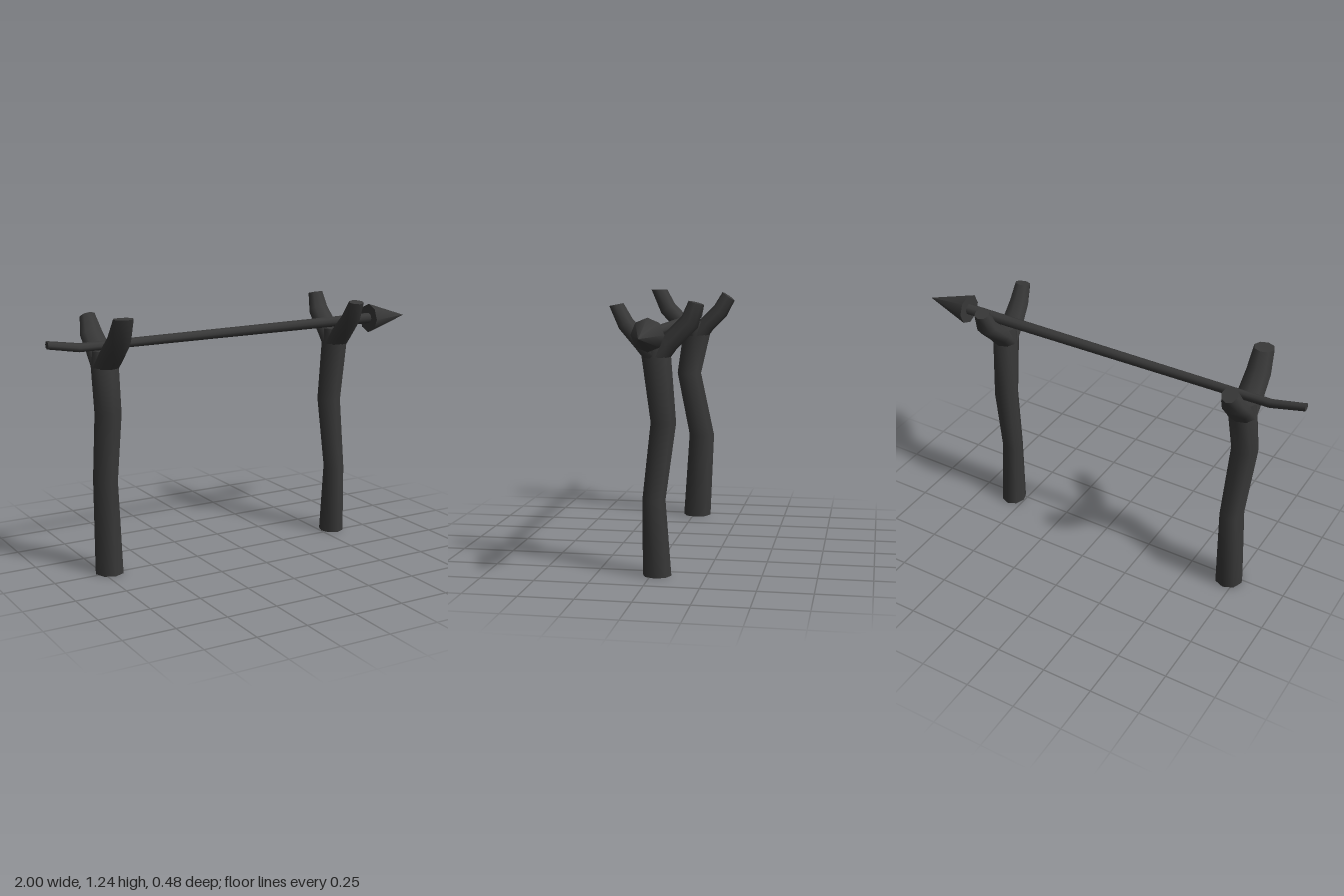
import * as THREE from 'three';

const material = new THREE.MeshStandardMaterial({ color: 0x383838 });

// Closed loft through elliptical rings [x, y, z, radiusX, radiusV, tilt about x]
function loft(name, rings, sides = 8) {
  const pos = [], index = [];
  const addRing = ([x, y, z, rx, rv, tilt = 0]) => {
    for (let i = 0; i < sides; i++) {
      const a = (i / sides) * Math.PI * 2;
      const v = Math.cos(a) * rv;
      pos.push(x + Math.sin(a) * rx, y - Math.sin(tilt) * v, z + Math.cos(tilt) * v);
    }
  };
  rings.forEach(addRing);
  for (let r = 0; r < rings.length - 1; r++) {
    for (let i = 0; i < sides; i++) {
      const a = r * sides + i, b = r * sides + (i + 1) % sides;
      index.push(a, b, a + sides, b, b + sides, a + sides);
    }
  }
  // End caps use their own vertices so the rims stay sharp
  [rings[0], rings[rings.length - 1]].forEach((ring, end) => {
    const start = pos.length / 3;
    addRing(ring);
    for (let i = 1; i < sides - 1; i++) {
      if (end) index.push(start, start + i, start + i + 1);
      else index.push(start, start + i + 1, start + i);
    }
  });
  const geometry = new THREE.BufferGeometry();
  geometry.setAttribute('position', new THREE.Float32BufferAttribute(pos, 3));
  geometry.setIndex(index);
  geometry.computeVertexNormals();
  const mesh = new THREE.Mesh(geometry, material);
  mesh.name = name;
  return mesh;
}

function forkedPost(name, trunk, frontProng, backProng) {
  const post = new THREE.Group();
  post.name = name;
  post.add(loft('trunk', trunk), loft('frontProng', frontProng), loft('backProng', backProng));
  return post;
}

export function createModel() {
  const model = new THREE.Group();
  model.name = 'spearOnForkedPosts';

  // Thicker post on the model's right
  model.add(forkedPost('rightPost',
    [
      [-0.715, 0, -0.018, 0.07, 0.074],
      [-0.713, 0.45, -0.042, 0.06, 0.068],
      [-0.722, 0.79, 0.03, 0.067, 0.065],
      [-0.715, 1.0, -0.01, 0.067, 0.074],
      [-0.715, 1.075, -0.01, 0.06, 0.055],
    ],
    [
      [-0.715, 1.0, 0.0, 0.064, 0.05, 0.7],
      [-0.712, 1.06, 0.065, 0.064, 0.045, 0.8],
      [-0.71, 1.14, 0.145, 0.06, 0.046, 0.6],
      [-0.708, 1.243, 0.193, 0.05, 0.044, 0.0],
    ],
    [
      [-0.715, 1.0, -0.02, 0.064, 0.05, -0.7],
      [-0.715, 1.06, -0.07, 0.064, 0.045, -0.8],
      [-0.72, 1.13, -0.14, 0.058, 0.044, -0.65],
      [-0.72, 1.21, -0.185, 0.038, 0.04, -0.6],
    ]));

  // Slimmer post on the model's left
  model.add(forkedPost('leftPost',
    [
      [0.565, 0, -0.028, 0.061, 0.066],
      [0.565, 0.35, -0.014, 0.052, 0.053],
      [0.556, 0.7, -0.056, 0.06, 0.058],
      [0.562, 1.0, -0.025, 0.062, 0.067],
      [0.563, 1.075, -0.025, 0.056, 0.05],
    ],
    [
      [0.563, 1.0, -0.015, 0.06, 0.045, 0.7],
      [0.565, 1.06, 0.04, 0.059, 0.04, 0.8],
      [0.568, 1.14, 0.11, 0.052, 0.038, 0.6],
      [0.57, 1.225, 0.152, 0.04, 0.033, 0.2],
    ],
    [
      [0.562, 1.0, -0.035, 0.06, 0.048, -0.7],
      [0.562, 1.06, -0.085, 0.06, 0.044, -0.8],
      [0.563, 1.15, -0.175, 0.052, 0.044, -0.6],
      [0.563, 1.235, -0.205, 0.037, 0.036, -0.25],
    ]));

  // Spear, lofted along y and laid over so that local y becomes +x
  const spear = new THREE.Group();
  spear.name = 'spear';
  spear.rotation.z = -Math.PI / 2;
  spear.add(
    loft('shaft', [
      [-1.125, -1.0, 0.013, 0.019, 0.019],
      [-1.098, -0.84, -0.002, 0.021, 0.021],
      [-1.108, 0.8, -0.028, 0.027, 0.027],
    ]),
    loft('spearHead', [
      [-1.107, 0.775, -0.027, 0.074, 0.074],
      [-1.107, 1.0, -0.032, 0.001, 0.001],
    ]));
  model.add(spear);

  return model;
}
